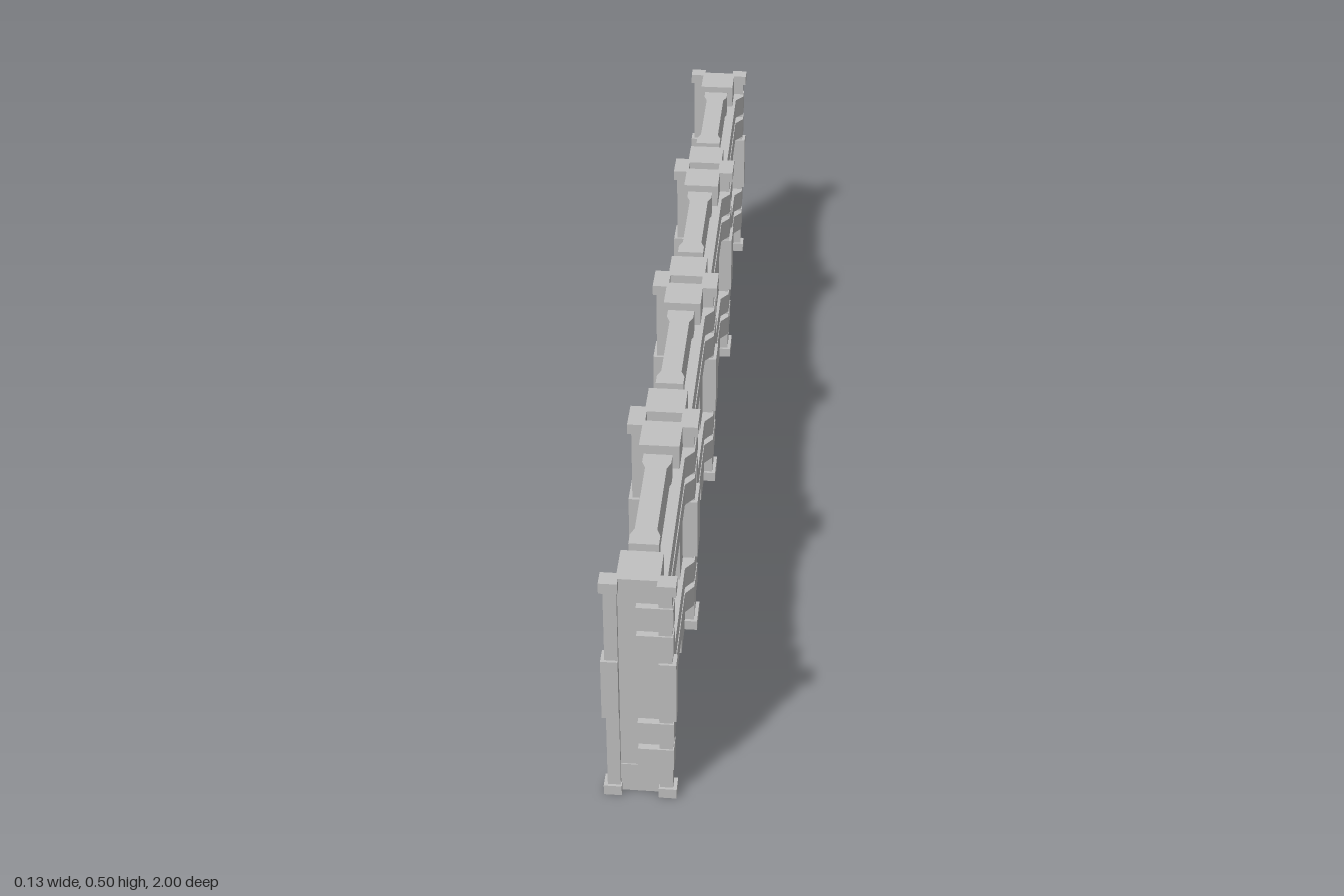
import * as THREE from 'three';

const HALF = 0.25; // half the length of one fence section

export function createModel() {
  const model = new THREE.Group();
  model.name = 'modularBarrier';
  const grey = new THREE.MeshStandardMaterial({ color: 0xc0c0c0 });
  grey.name = 'plain grey';

  // Box given by its limits on each axis
  function box(parent, name, x0, x1, y0, y1, z0, z1) {
    const mesh = new THREE.Mesh(new THREE.BoxGeometry(x1 - x0, y1 - y0, z1 - z0), grey);
    mesh.position.set((x0 + x1) / 2, (y0 + y1) / 2, (z0 + z1) / 2);
    mesh.name = name;
    parent.add(mesh);
  }

  // Plan outline of [x, z] points raised from y0 to y1
  function raised(parent, name, plan, y0, y1) {
    const shape = new THREE.Shape(plan.map(([x, z]) => new THREE.Vector2(x, -z)));
    const geo = new THREE.ExtrudeGeometry(shape, { depth: y1 - y0, bevelEnabled: false });
    geo.rotateX(-Math.PI / 2);
    const mesh = new THREE.Mesh(geo, grey);
    mesh.position.y = y0;
    mesh.name = name;
    parent.add(mesh);
  }

  // Panel with thicker flared edges
  const panelPlan = [
    [-0.027, -0.133], [0.027, -0.133], [0.027, -0.108], [0.02, -0.09],
    [0.02, 0.09], [0.027, 0.108], [0.027, 0.133], [-0.027, 0.133],
    [-0.027, 0.108], [-0.02, 0.09], [-0.02, -0.09], [-0.027, -0.108],
  ];

  // Rail that steps outward over the posts and ends in thick stubs
  const e = HALF - 0.002;
  const railPlan = [
    [-0.003, -e], [0.062, -e], [0.062, -0.213], [0.045, -0.19],
    [0.045, 0.19], [0.062, 0.213], [0.062, e], [-0.003, e],
    [-0.003, 0.225], [0.024, 0.225], [0.024, -0.225], [-0.003, -0.225],
  ];
  const railHeights = [[0.07, 0.118], [0.133, 0.181], [0.338, 0.386], [0.401, 0.449]];

  for (let i = 0; i < 4; i++) {
    const section = new THREE.Group();
    section.name = 'fenceSection';
    section.position.z = -0.75 + i * 0.5;
    model.add(section);

    raised(section, 'panel', panelPlan, 0.06, 0.497);
    box(section, 'baseBeam', -0.036, 0.036, 0.01, 0.062, -0.15, 0.15);
    for (const [y0, y1] of railHeights) raised(section, 'rail', railPlan, y0, y1);

    for (const s of [-1, 1]) {
      // Part measured inward from the section end
      const atEnd = (name, x0, x1, y0, y1, d0, d1) => {
        const a = s * (HALF - d0), b = s * (HALF - d1);
        box(section, name, x0, x1, y0, y1, Math.min(a, b), Math.max(a, b));
      };
      atEnd('post', -0.038, 0.038, 0.03, 0.5, 0.015, 0.094);
      atEnd('foot', -0.042, 0.042, 0.002, 0.067, 0.013, 0.105);

      // Corner columns with caps, clamps and feet
      for (const m of [-1, 1]) {
        const corner = (name, xa, xb, y0, y1, d0, d1) =>
          atEnd(name, Math.min(m * xa, m * xb), Math.max(m * xa, m * xb), y0, y1, d0, d1);
        corner('cornerColumn', 0.036, 0.06, 0.01, 0.49, 0.005, 0.025);
        corner('columnFoot', 0.034, 0.067, 0, 0.022, 0, 0.031);
        corner('columnClamp', 0.036, 0.067, 0.19, 0.323, 0, 0.031);
        corner('columnCap', 0.034, 0.067, 0.478, 0.5, 0, 0.031);
      }
    }
  }
  return model;
}
